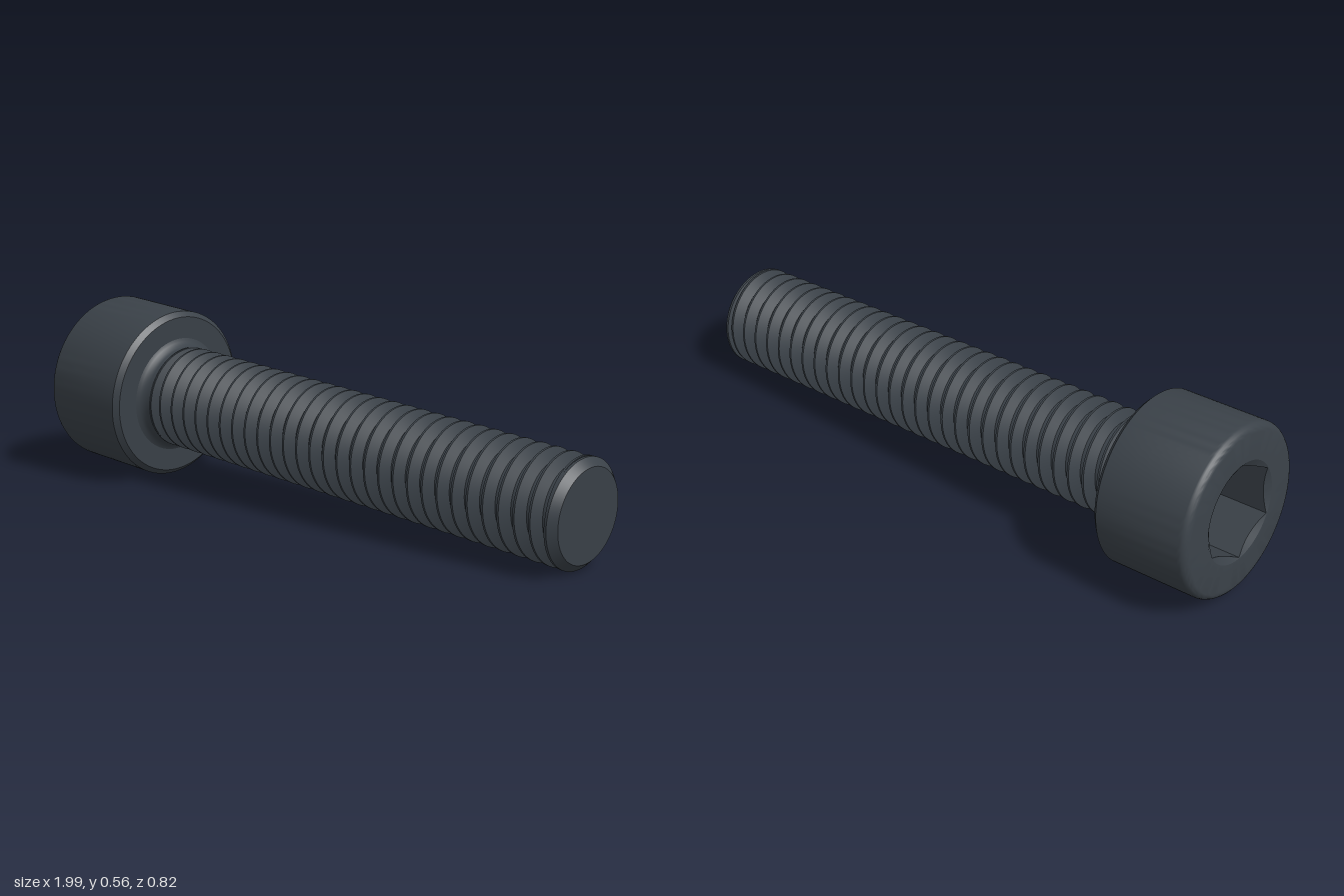
import * as THREE from 'three';
import { toCreasedNormals } from 'three/addons/utils/BufferGeometryUtils.js';

const TAU = Math.PI * 2;
const HEAD_R = 0.271, HEAD_H = 0.322, SHAFT_R = 0.163, ROOT_R = 0.13;
const LENGTH = 1.955, PITCH = 0.0543;
const HEX_R = 0.157, HEX_DEPTH = 0.16;

// Skin a stack of rings; each row is a function angle -> [radius, distance along the axis]
function skin(rows, cols, crease) {
  const pos = [], index = [];
  rows.forEach((row, i) => {
    for (let j = 0; j <= cols; j++) {
      const a = (j / cols) * TAU;
      const [r, t] = row(a);
      pos.push(r * Math.sin(a), t, r * Math.cos(a));
      if (i < rows.length - 1 && j < cols) {
        const p = i * (cols + 1) + j, q = p + cols + 1;
        index.push(p, p + 1, q, p + 1, q + 1, q);
      }
    }
  });
  const g = new THREE.BufferGeometry();
  g.setAttribute('position', new THREE.Float32BufferAttribute(pos, 3));
  g.setIndex(index);
  return toCreasedNormals(g, crease);
}

const ring = (r, t) => () => [r, t];

// Radius of the hexagon at an angle, with a corner at angle 0
function hexRadius(a) {
  const s = Math.PI / 3;
  const local = a - Math.floor(a / s + 1e-6) * s - s / 2;
  return (HEX_R * Math.cos(s / 2)) / Math.cos(local);
}

// Quarter-round rows from the end face to the side wall
function roundOver(r, radius, steps) {
  return Array.from({ length: steps + 1 }, (_, i) => {
    const a = (i / steps) * Math.PI / 2;
    return ring(r - radius + radius * Math.sin(a), radius - radius * Math.cos(a));
  });
}

export function createModel() {
  const steel = new THREE.MeshStandardMaterial({ color: 0x3a4148 });
  steel.name = 'dark steel';
  const model = new THREE.Group();
  model.name = 'socketScrew';
  const add = (name, geometry) => {
    const mesh = new THREE.Mesh(geometry, steel);
    mesh.name = name;
    model.add(mesh);
  };

  // Head: hex socket, countersunk rim, rounded end and chamfered underside
  add('head', skin([
    ring(0, HEX_DEPTH),
    (a) => [hexRadius(a), HEX_DEPTH],
    (a) => [hexRadius(a), (HEX_R + 0.002 - hexRadius(a)) * 0.58],
    ring(HEX_R + 0.002, 0),
    ...roundOver(HEAD_R, 0.028, 6),
    ring(HEAD_R, HEAD_H - 0.016),
    ring(HEAD_R - 0.016, HEAD_H),
    ring(0.15, HEAD_H),
  ], 96, 0.5));

  // Neck: small fillet below the head
  const neckEnd = HEAD_H + 0.045;
  add('neck', skin([
    ring(SHAFT_R + 0.024, HEAD_H - 0.001),
    ring(SHAFT_R + 0.011, HEAD_H + 0.005),
    ring(SHAFT_R + 0.003, HEAD_H + 0.014),
    ring(SHAFT_R - 0.001, HEAD_H + 0.026),
    ring(SHAFT_R - 0.002, neckEnd),
    ring(ROOT_R - 0.01, neckEnd + 0.015),
  ], 72, 0.6));

  // Right-handed helical thread, clamped between neck and tip
  const start = neckEnd - 0.005, end = LENGTH - 0.028;
  const profile = [[0, ROOT_R], [0.25, ROOT_R], [0.5625, SHAFT_R], [0.6875, SHAFT_R]];
  const rows = [];
  const turns = Math.ceil((end - start) / PITCH);
  for (let k = -1; k <= turns; k++) {
    for (const [f, r] of profile) {
      rows.push((a) => [r, THREE.MathUtils.clamp(start + PITCH * (k + f + a / TAU), start, end)]);
    }
  }
  add('thread', skin(rows, 72, 0.5));

  // Tip: chamfered flat end
  add('tip', skin([
    ring(ROOT_R - 0.01, LENGTH - 0.045),
    ring(SHAFT_R, LENGTH - 0.03),
    ring(SHAFT_R, LENGTH - 0.022),
    ring(0.14, LENGTH),
    ring(0, LENGTH),
  ], 72, 0.4));

  // Lay the screw down along its slanted axis, a socket corner pointing up
  const axis = new THREE.Vector3(1, -0.067, 0.212).normalize();
  const up = new THREE.Vector3(0, 1, 0);
  up.addScaledVector(axis, -up.dot(axis)).normalize();
  const side = new THREE.Vector3().crossVectors(axis, up);
  model.quaternion.setFromRotationMatrix(new THREE.Matrix4().makeBasis(side, axis, up));
  model.position.set(-0.944, 0.293, -0.148);

  const root = new THREE.Group();
  root.name = 'screw';
  root.add(model);
  return root;
}
